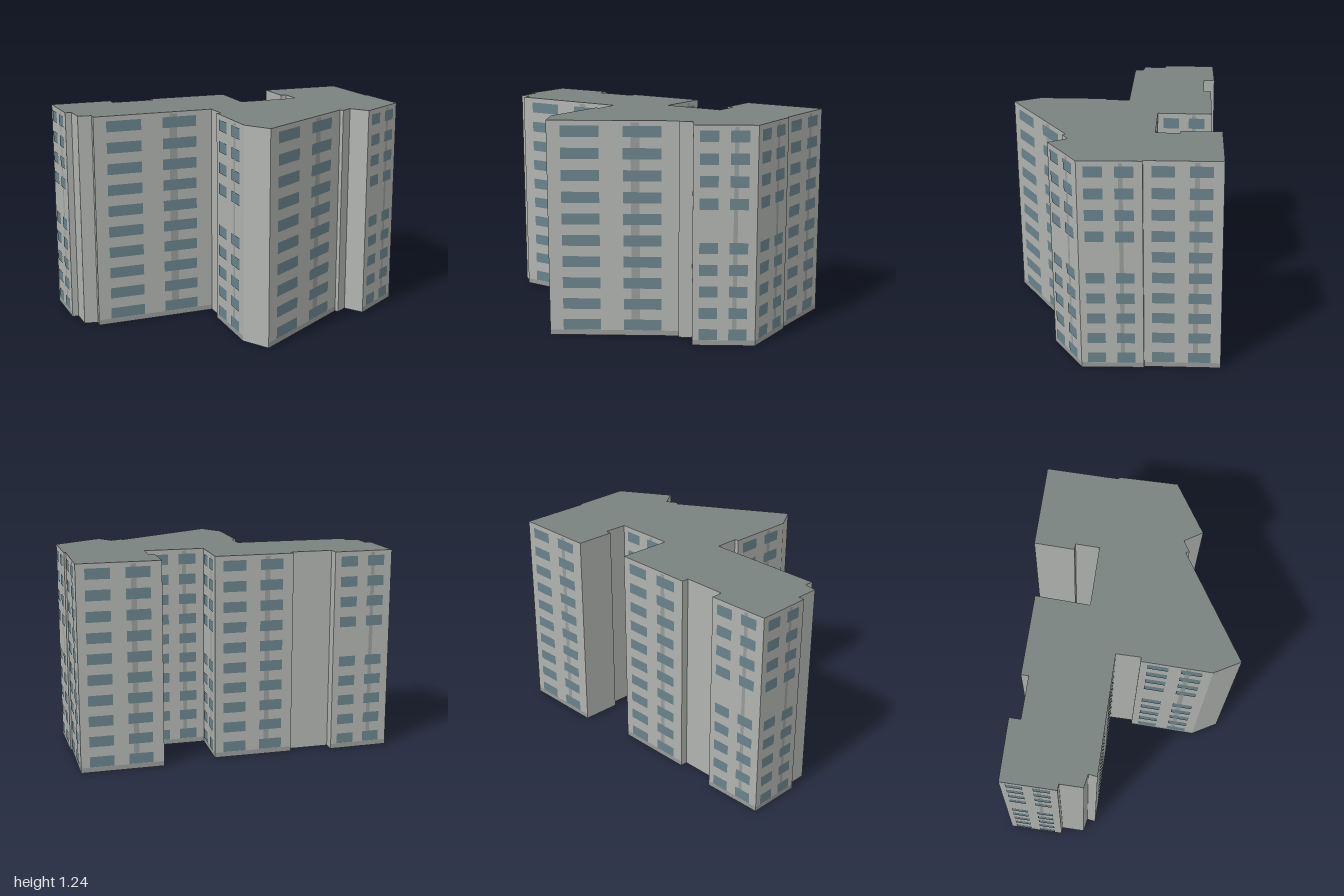
import * as THREE from 'three';
import { mergeGeometries } from 'three/addons/utils/BufferGeometryUtils.js';

const HEIGHT = 1.235;
const ROWS = 10;
const FLOOR = HEIGHT / ROWS;

// Footprint corners [x, z, facade of the wall that starts here].
// 'full' = windows on every floor, 'gap' = one floor left blank.
const FOOTPRINT = [
  [-1.0, 0.345, 'gap'], [-0.81, 0.605], [-0.78, 0.585], [-0.70, 0.695],
  [-0.63, 0.66], [-0.605, 0.705, 'full'], [-0.03, 0.285], [0.055, 0.40],
  [0.035, 0.415, 'gap'], [0.27, 0.75], [0.43, 0.82, 'full'], [0.705, 0.14],
  [0.725, 0.15], [0.755, 0.08], [0.87, 0.125, 'gap'], [1.0, -0.2, 'gap'],
  [0.79, -0.48], [0.78, -0.475, 'full'], [0.53, -0.825, 'full'], [0.13, -0.53],
  [0.265, -0.335], [0.295, -0.355], [0.375, -0.24, 'full'], [0.08, -0.025, 'gap'],
  [-0.10, -0.29, 'full'], [-0.49, -0.005], [-0.465, 0.03], [-0.67, 0.18],
  [-0.71, 0.125, 'gap'],
];

const wallMaterial = new THREE.MeshStandardMaterial({ color: 0xb0b3af, side: THREE.DoubleSide });
const roofMaterial = new THREE.MeshStandardMaterial({ color: 0x7a827f, side: THREE.DoubleSide });
const trimMaterial = new THREE.MeshStandardMaterial({ color: 0x969b98 });
const glassMaterial = new THREE.MeshStandardMaterial({ color: 0x69828a });

// Upright rectangle between two corners, facing +z
function panel(x0, x1, y0, y1, z = 0) {
  return new THREE.PlaneGeometry(x1 - x0, y1 - y0)
    .translate((x0 + x1) / 2, (y0 + y1) / 2, z);
}

function addMesh(parent, name, geometry, material) {
  const mesh = new THREE.Mesh(geometry, material);
  mesh.name = name;
  parent.add(mesh);
}

// One wall, built along local +x with its outside towards local +z
function createWall(length, facade) {
  const wall = new THREE.Group();
  wall.name = facade ? 'windowedWall' : 'plainWall';
  addMesh(wall, 'wallSurface', panel(0, length, 0, HEIGHT), wallMaterial);
  if (!facade) return wall;

  // Base band and vertical strip
  addMesh(wall, 'plinth', panel(0, length, 0, 0.03, 0.001), trimMaterial);
  addMesh(wall, 'verticalStrip', panel(0.635 * length, 0.7 * length, 0.03, HEIGHT - 0.01, 0.001), trimMaterial);

  // Two columns of windows
  const windows = [];
  for (let row = 0; row < ROWS; row++) {
    if (facade === 'gap' && row === 5) continue;
    const y = row * FLOOR + 0.032;
    for (const [a, b] of [[0.105, 0.395], [0.575, 0.865]]) {
      windows.push(panel(a * length, b * length, y, y + 0.063, 0.003));
    }
  }
  addMesh(wall, 'windows', mergeGeometries(windows), glassMaterial);
  return wall;
}

export function createModel() {
  const building = new THREE.Group();
  building.name = 'apartmentBlock';

  // Walls around the footprint, open underneath
  FOOTPRINT.forEach(([x, z, facade], i) => {
    const [nextX, nextZ] = FOOTPRINT[(i + 1) % FOOTPRINT.length];
    const dx = nextX - x, dz = nextZ - z;
    const wall = createWall(Math.hypot(dx, dz), facade);
    wall.position.set(x, 0, z);
    wall.rotation.y = Math.atan2(-dz, dx);
    building.add(wall);
  });

  // Flat roof
  const outline = new THREE.Shape(FOOTPRINT.map(([x, z]) => new THREE.Vector2(x, -z)));
  const roof = new THREE.ShapeGeometry(outline).rotateX(-Math.PI / 2).translate(0, HEIGHT, 0);
  addMesh(building, 'roof', roof, roofMaterial);

  return building;
}
